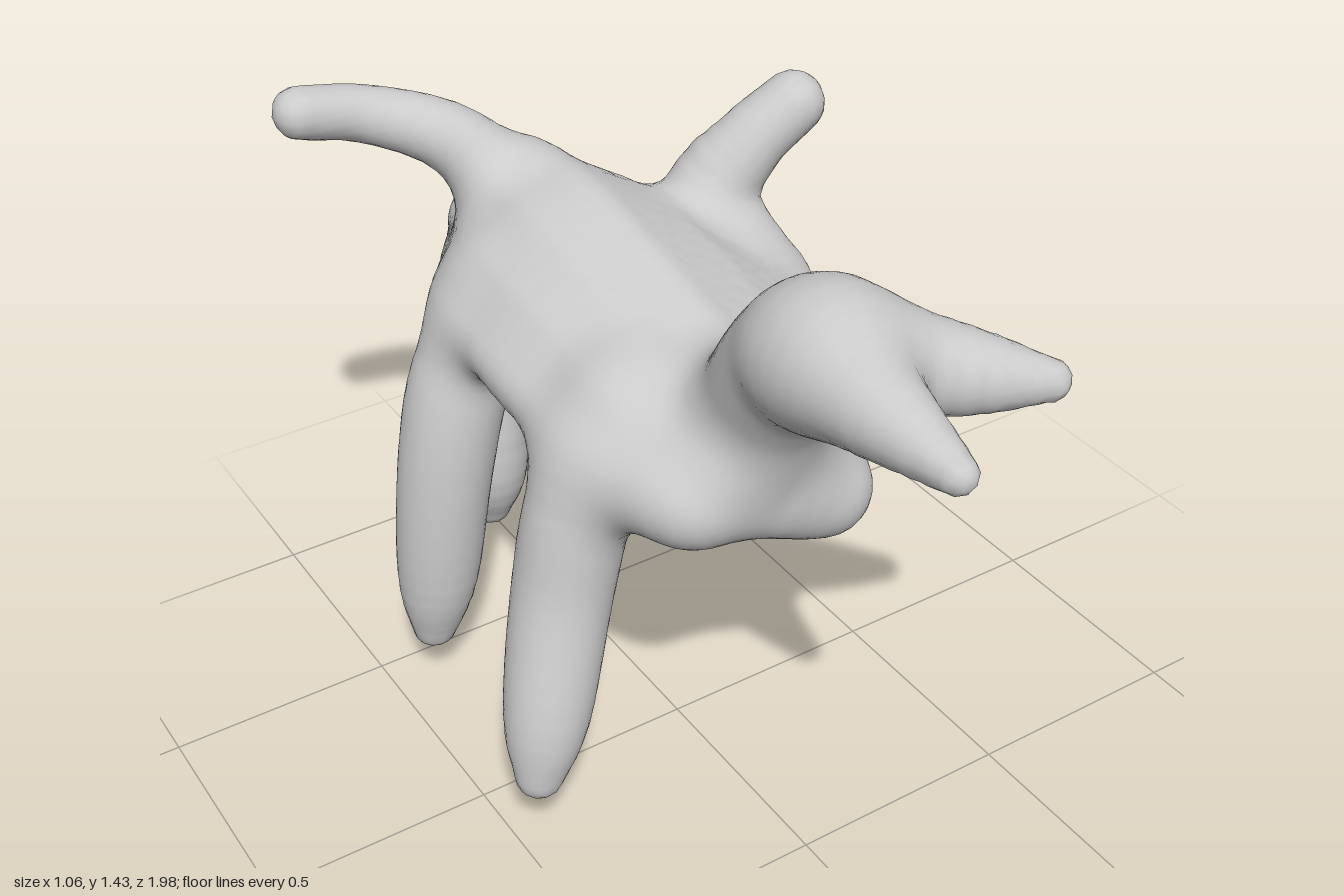
import * as THREE from 'three';

const spline = points => new THREE.CatmullRomCurve3(points.map(p => new THREE.Vector3(...p)), false, 'catmullrom');

// Sample a spline of [x, y, z, radius] points into a chain of tapered capsules
function chain(steps, ...points) {
  const path = spline(points.map(p => p.slice(0, 3)));
  const radii = spline(points.map((p, i) => [p[3], i, 0]));
  const capsules = [];
  for (let i = 0; i < steps; i++) {
    const a = path.getPoint(i / steps), d = path.getPoint((i + 1) / steps).sub(a);
    const r = radii.getPoint(i / steps).x, dr = radii.getPoint((i + 1) / steps).x - r;
    capsules.push({ x: a.x, y: a.y, z: a.z, dx: d.x, dy: d.y, dz: d.z, r, dr, len2: d.lengthSq() + 1e-9 });
  }
  return capsules;
}

// Arched back, hollow underneath: ribs swept between a right rim, a spine and a left rim
function canopy() {
  const rightRim = spline([[-0.19, 0.89, 0.35], [-0.27, 0.92, 0.12], [-0.26, 0.97, -0.35], [-0.04, 0.93, -0.74]]);
  const spine = spline([[-0.02, 1, 0.35], [-0.01, 1.05, 0.12], [-0.02, 1.15, -0.4], [0.02, 0.96, -0.74]]);
  const leftRim = spline([[0.1, 0.83, 0.35], [0.24, 0.87, 0.12], [0.35, 0.9, -0.13], [0.29, 0.9, -0.34],
    [0.17, 0.885, -0.53], [0.09, 0.93, -0.74]]);
  const ribs = [];
  for (let i = 0; i <= 44; i++) {
    const [a, b, c] = [rightRim, spine, leftRim].map(curve => curve.getPoint(i / 44));
    // Shoulders sit outside the straight line from spine to rim
    const shoulder = (rim, drop) => b.clone().lerp(rim, 0.58).setY(b.y + (rim.y - b.y) * drop);
    ribs.push(...chain(6, ...[a, shoulder(a, 0.32), b, shoulder(c, 0.44), c].map(p => [p.x, p.y, p.z, 0.075])));
  }
  return ribs;
}

// A right leg splays from the rim at depth z, then swings from knee to foot
function rightLeg(z, footX, footY, footZ) {
  const calf = t => [-0.355 + (footX + 0.355) * t, 0.6 + (footY - 0.6) * t, z + (footZ - z) * t];
  return chain(20, [-0.2, 0.97, z, 0.1], [-0.3, 0.82, z, 0.107], [...calf(0), 0.103],
    [...calf(0.65), 0.09], [...calf(1), 0.052]);
}

const parts = [];
const addPart = (name, capsules, blend = 0) => parts.push({ name, capsules, blend });

addPart('body', canopy());
addPart('chest', chain(6, [-0.2, 0.9, 0.3, 0.085], [-0.02, 0.85, 0.355, 0.09], [0.1, 0.81, 0.36, 0.083]));
addPart('neckAndHead', chain(20, [-0.03, 0.95, 0.29, 0.13], [-0.06, 1.21, 0.46, 0.125],
  [-0.08, 1.29, 0.58, 0.125], [-0.1, 1.3, 0.76, 0.085], [-0.1, 1.29, 0.96, 0.036]));
addPart('sideHorn', chain(8, [-0.04, 1.29, 0.58, 0.11], [0.13, 1.255, 0.69, 0.08], [0.26, 1.235, 0.775, 0.04]));
addPart('rightFrontLeg', rightLeg(0.13, -0.465, 0.215, 0.2));
addPart('rightMiddleLeg', rightLeg(-0.37, -0.405, 0.17, -0.39));
addPart('rearLeg', chain(30, [0.02, 0.95, -0.68, 0.075], [0.03, 0.89, -0.85, 0.08], [0.04, 0.72, -0.885, 0.104],
  [0.02, 0.58, -0.845, 0.09], [0.01, 0.45, -0.82, 0.062], [-0.01, 0.2, -0.845, 0.093], [-0.01, 0.055, -0.86, 0.052]));
addPart('rightArm', chain(12, [-0.09, 1.15, -0.54, 0.09], [-0.19, 1.25, -0.6, 0.072],
  [-0.33, 1.305, -0.67, 0.06], [-0.47, 1.34, -0.68, 0.055]));
addPart('leftArm', chain(12, [0.34, 0.95, -0.2, 0.08], [0.3, 1.08, -0.32, 0.1],
  [0.37, 1.2, -0.3, 0.077], [0.465, 1.285, -0.27, 0.068]));

function smoothMin(a, b, k) {
  const h = Math.max(k - Math.abs(a - b), 0) / k;
  return Math.min(a, b) - h * h * k * 0.25;
}

function partDistance(part, x, y, z) {
  let best = 10;
  for (const c of part.capsules) {
    const px = x - c.x, py = y - c.y, pz = z - c.z;
    const t = Math.min(1, Math.max(0, (px * c.dx + py * c.dy + pz * c.dz) / c.len2));
    const ex = px - c.dx * t, ey = py - c.dy * t, ez = pz - c.dz * t;
    best = Math.min(best, Math.sqrt(ex * ex + ey * ey + ez * ez) - c.r - c.dr * t);
  }
  return best;
}

// Distance to the blended skin of all parts
const skin = (x, y, z) => parts.reduce((d, part) => smoothMin(d, partDistance(part, x, y, z), 0.1), 10);

function nearestPart(x, y, z) {
  const d = parts.map(p => partDistance(p, x, y, z));
  return d.indexOf(Math.min(...d));
}

function gradient(x, y, z) {
  const e = 0.018;
  return new THREE.Vector3(skin(x + e, y, z) - skin(x - e, y, z), skin(x, y + e, z) - skin(x, y - e, z),
    skin(x, y, z + e) - skin(x, y, z - e)).normalize();
}

export function createModel() {
  // Sample the skin on a grid
  const step = 0.022, origin = [-0.66, -0.08, -1.1], size = [60, 73, 100];
  const stride = [1, size[0], size[0] * size[1]];
  const field = new Float32Array(size[0] * size[1] * size[2]).fill(1);
  const forCells = fn => {
    for (let k = 1; k < size[2] - 1; k++)
      for (let j = 1; j < size[1] - 1; j++)
        for (let i = 1; i < size[0] - 1; i++) fn(i, j, k, i + j * stride[1] + k * stride[2]);
  };
  forCells((i, j, k, n) => {
    field[n] = skin(origin[0] + i * step, origin[1] + j * step, origin[2] + k * step);
  });

  // One vertex per cell the skin passes through, pulled onto the skin
  const positions = [], normals = [], owner = [], vertexOf = new Map();
  forCells((i, j, k, n) => {
    const sum = [0, 0, 0];
    let count = 0;
    for (let corner = 0; corner < 8; corner++) {
      const bits = [corner & 1, (corner >> 1) & 1, corner >> 2];
      const a = n + bits[0] + bits[1] * stride[1] + bits[2] * stride[2];
      for (let axis = 0; axis < 3; axis++) {
        if (bits[axis]) continue;
        const fa = field[a], fb = field[a + stride[axis]];
        if ((fa < 0) === (fb < 0)) continue;
        for (let q = 0; q < 3; q++) sum[q] += bits[q] + (q === axis ? fa / (fa - fb) : 0);
        count++;
      }
    }
    if (!count) return;
    const p = new THREE.Vector3(...[i, j, k].map((g, q) => origin[q] + (g + sum[q] / count) * step));
    const normal = gradient(p.x, p.y, p.z);
    p.addScaledVector(normal, -skin(p.x, p.y, p.z));
    vertexOf.set(n, owner.length);
    owner.push(nearestPart(p.x, p.y, p.z));
    positions.push(p.x, p.y, p.z);
    normals.push(normal.x, normal.y, normal.z);
  });

  // One quad per crossed grid edge, filed under the part it belongs to
  const faces = parts.map(() => []);
  forCells((i, j, k, n) => {
    for (let axis = 0; axis < 3; axis++) {
      const inside = field[n] < 0;
      if (inside === (field[n + stride[axis]] < 0)) continue;
      const b = stride[(axis + 1) % 3], c = stride[(axis + 2) % 3];
      const quad = [n - b - c, n - c, n, n - b].map(m => vertexOf.get(m));
      if (!inside) quad.reverse();
      faces[owner[quad[0]]].push(quad[0], quad[1], quad[2], quad[0], quad[2], quad[3]);
    }
  });

  const group = new THREE.Group();
  group.name = 'creature';
  const material = new THREE.MeshStandardMaterial({ color: 0xcccccc });
  parts.forEach((part, i) => {
    const shared = new THREE.BufferGeometry();
    shared.setAttribute('position', new THREE.Float32BufferAttribute(positions, 3));
    shared.setAttribute('normal', new THREE.Float32BufferAttribute(normals, 3));
    shared.setIndex(faces[i]);
    const mesh = new THREE.Mesh(shared.toNonIndexed(), material);
    mesh.name = part.name;
    group.add(mesh);
  });
  return group;
}
